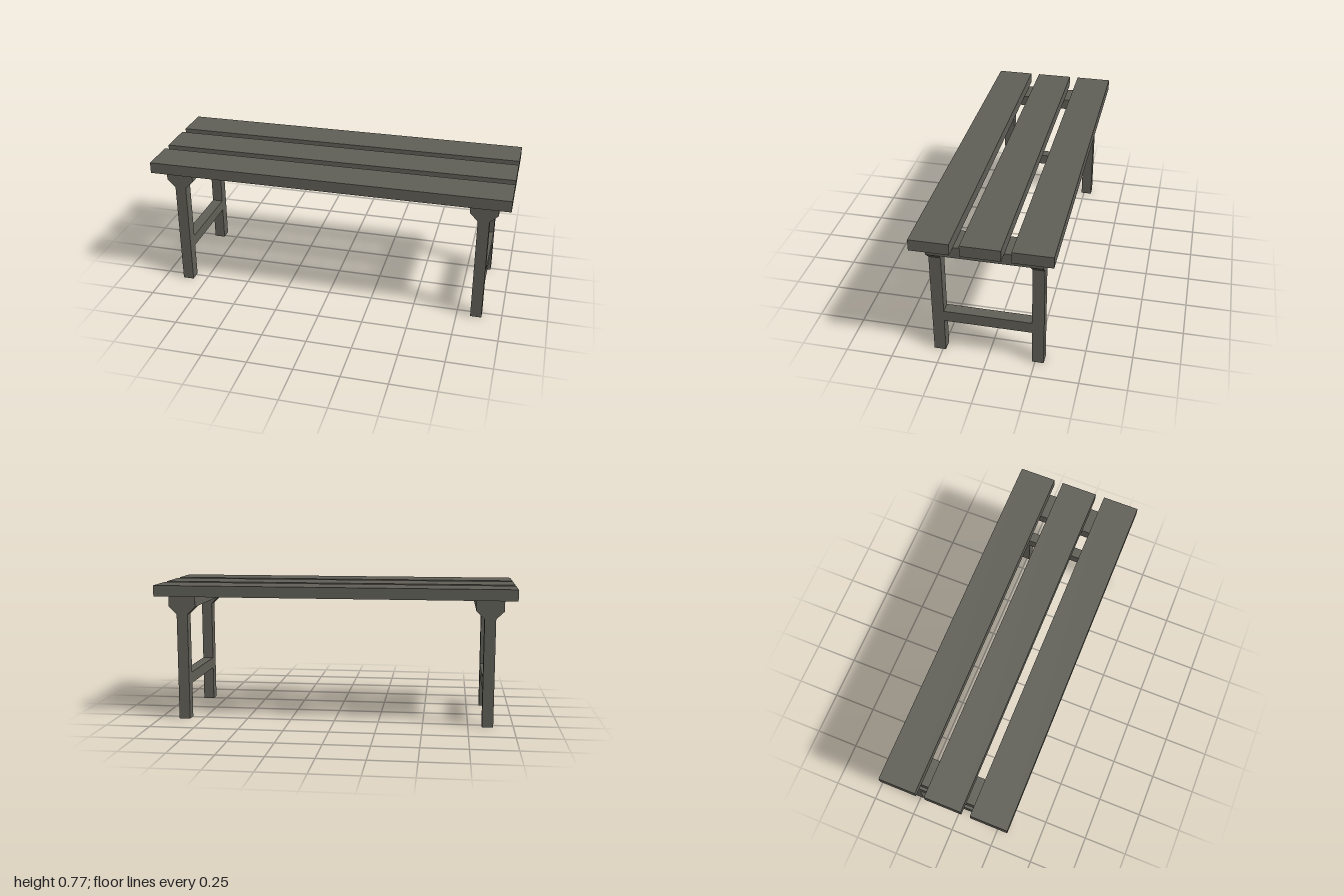
import * as THREE from 'three';

export function createModel() {
  const bench = new THREE.Group();
  bench.name = 'bench';
  const wood = new THREE.MeshStandardMaterial({ color: 0x605f57 });
  wood.name = 'grey wood';

  function add(parent, name, geometry, x, y, z) {
    const mesh = new THREE.Mesh(geometry, wood);
    mesh.name = name;
    mesh.position.set(x, y, z);
    parent.add(mesh);
  }

  // Seat: three long slats with gaps between them
  const slat = new THREE.BoxGeometry(2, 0.062, 0.206);
  for (const z of [-0.257, 0, 0.257]) add(bench, 'seatSlat', slat, 0, 0.739, z);

  // Leg outline: straight post flaring out under the cross beam
  const half = 0.031, wide = 0.076, depth = 0.063;
  const outline = new THREE.Shape([
    [-half, 0], [half, 0], [half, 0.602], [wide, 0.645], [-wide, 0.645], [-half, 0.602],
  ].map(([x, y]) => new THREE.Vector2(x, y)));
  const leg = new THREE.ExtrudeGeometry(outline, { depth, bevelEnabled: false });
  leg.translate(0, 0, -depth / 2);

  const beam = new THREE.BoxGeometry(wide * 2, 0.063, 0.594);
  const stretcher = new THREE.BoxGeometry(half * 2, 0.063, 0.468);

  // End frames: two legs, a cross beam and a low stretcher
  for (const side of [-1, 1]) {
    const frame = new THREE.Group();
    frame.name = side > 0 ? 'leftFrame' : 'rightFrame';
    frame.position.x = side * 0.858;
    for (const z of [-0.2655, 0.2655]) add(frame, z > 0 ? 'frontLeg' : 'backLeg', leg, 0, 0, z);
    add(frame, 'crossBeam', beam, 0, 0.6765, 0);
    add(frame, 'stretcher', stretcher, 0, 0.2285, 0);
    bench.add(frame);
  }
  return bench;
}
